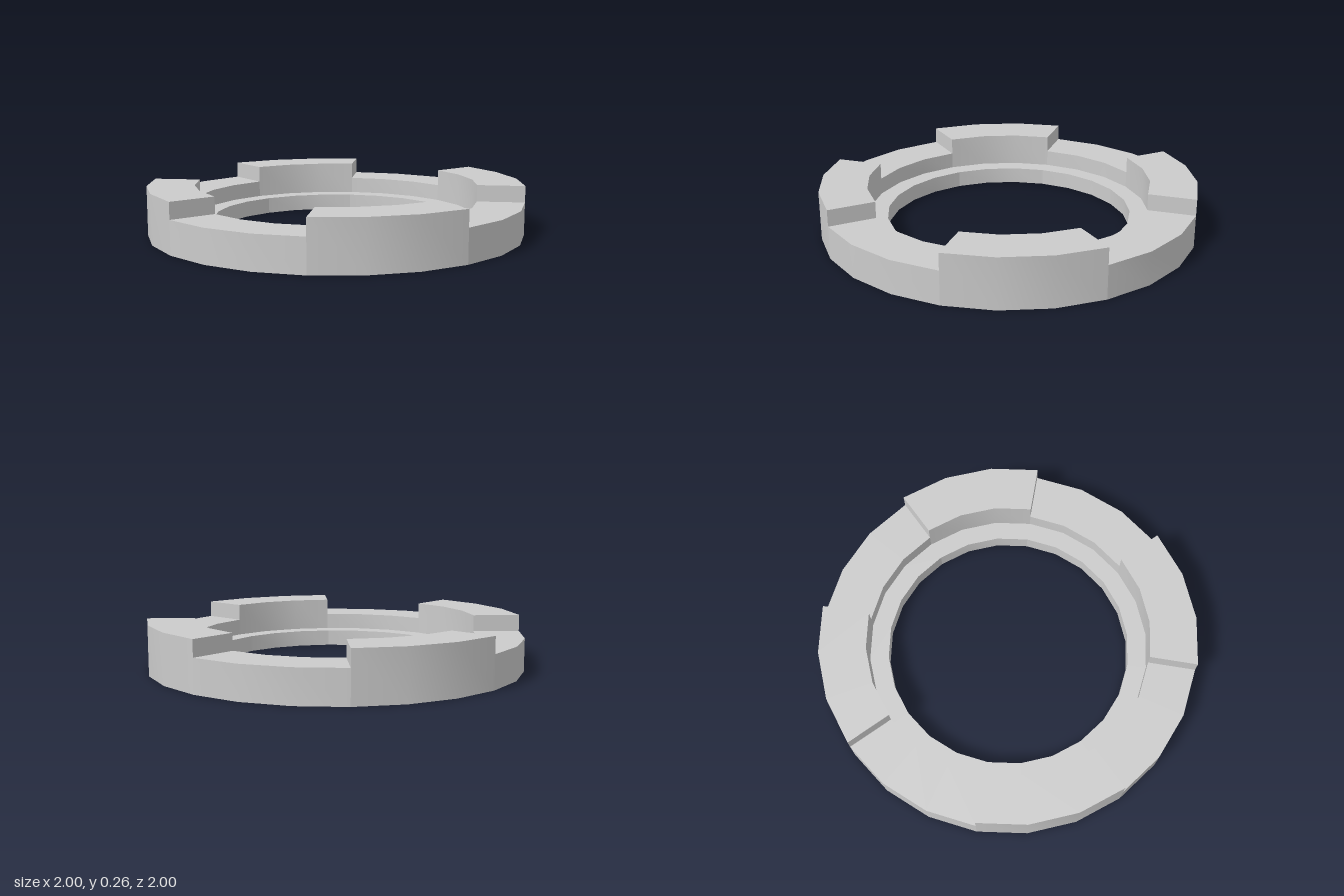
import * as THREE from 'three';

const BORE = 0.65, SEAT = 0.75, OUTER = 1;
const LEDGE_Y = 0.0875, LOW_Y = 0.175, HIGH_Y = 0.2625;
const STEPS = 3; // facets per 45 degree sector

const material = new THREE.MeshStandardMaterial({ color: 0xcccccc });
const point = (r, y, a) => [r * Math.sin(a), y, r * Math.cos(a)];

// Sweeps a closed (radius, height) profile from angle a0 to a1;
// each side of the profile keeps its own vertices so its edges stay sharp.
function sectorGeometry(a0, a1, top, raised) {
  const positions = [], index = [];
  const profile = [[BORE, 0], [OUTER, 0], [OUTER, top], [SEAT, top], [SEAT, LEDGE_Y], [BORE, LEDGE_Y]];
  profile.forEach((p, i) => {
    const q = profile[(i + 1) % profile.length];
    const base = positions.length / 3;
    for (let s = 0; s <= STEPS; s++) {
      const a = a0 + (a1 - a0) * s / STEPS;
      positions.push(...point(...p, a), ...point(...q, a));
    }
    for (let s = 0; s < STEPS; s++) {
      const k = base + s * 2;
      index.push(k, k + 2, k + 1, k + 1, k + 2, k + 3);
    }
  });

  // Vertical step walls at both ends of a raised sector
  if (raised) {
    const wall = [[SEAT, LOW_Y], [SEAT, HIGH_Y], [OUTER, HIGH_Y], [OUTER, LOW_Y]];
    for (const [a, corners] of [[a1, wall], [a0, [...wall].reverse()]]) {
      const k = positions.length / 3;
      corners.forEach(c => positions.push(...point(...c, a)));
      index.push(k, k + 1, k + 2, k, k + 2, k + 3);
    }
  }

  const geometry = new THREE.BufferGeometry();
  geometry.setAttribute('position', new THREE.Float32BufferAttribute(positions, 3));
  geometry.setIndex(index);
  geometry.computeVertexNormals();
  return geometry;
}

export function createModel() {
  const ring = new THREE.Group();
  ring.name = 'castellatedRing';

  // Eight sectors, alternately raised and low
  for (let i = 0; i < 8; i++) {
    const raised = i % 2 === 1;
    const a0 = i * Math.PI / 4;
    const geometry = sectorGeometry(a0, a0 + Math.PI / 4, raised ? HIGH_Y : LOW_Y, raised);
    const mesh = new THREE.Mesh(geometry, material);
    mesh.name = (raised ? 'raisedSector' : 'lowSector') + (Math.floor(i / 2) + 1);
    ring.add(mesh);
  }
  return ring;
}
